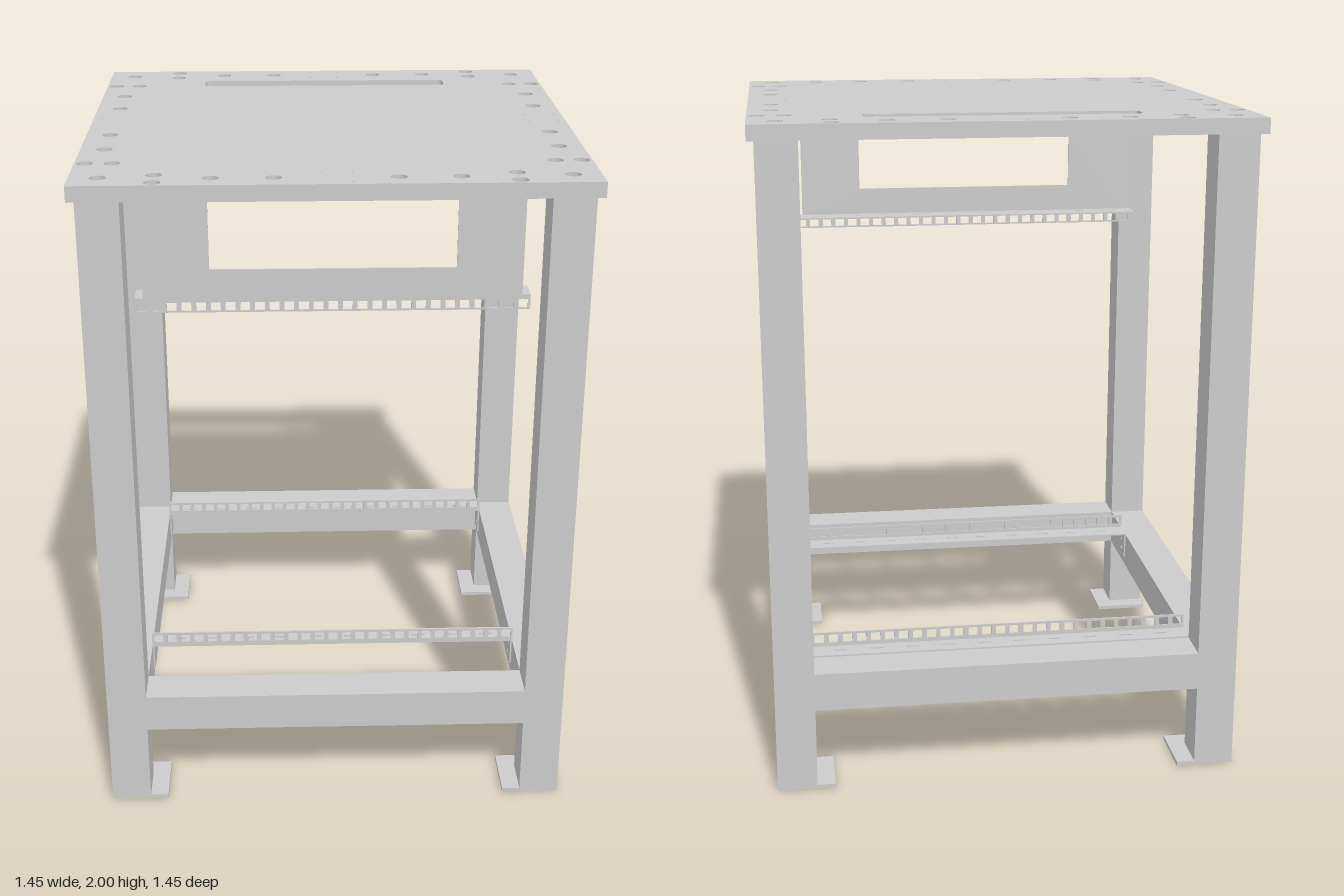
import * as THREE from 'three';

const mat = new THREE.MeshStandardMaterial({ color: 0xcccccc, flatShading: true });
const T = 0.005; // sheet metal thickness

function add(parent, name, geo, x = 0, y = 0, z = 0) {
  const m = new THREE.Mesh(geo, mat);
  m.name = name;
  m.position.set(x, y, z);
  parent.add(m);
  return m;
}

const box = (w, h, d) => new THREE.BoxGeometry(w, h, d);

// Trace a rectangle into a Shape or Path
function rect(p, x0, y0, x1, y1) {
  p.moveTo(x0, y0);
  p.lineTo(x1, y0);
  p.lineTo(x1, y1);
  p.lineTo(x0, y1);
  p.closePath();
  return p;
}

function roundRect(p, x0, y0, x1, y1, r) {
  p.moveTo(x0 + r, y0);
  p.lineTo(x1 - r, y0);
  p.absarc(x1 - r, y0 + r, r, -Math.PI / 2, 0);
  p.lineTo(x1, y1 - r);
  p.absarc(x1 - r, y1 - r, r, 0, Math.PI / 2);
  p.lineTo(x0 + r, y1);
  p.absarc(x0 + r, y1 - r, r, Math.PI / 2, Math.PI);
  p.lineTo(x0, y0 + r);
  p.absarc(x0 + r, y0 + r, r, Math.PI, Math.PI * 1.5);
  return p;
}

const extrude = (shape, depth) =>
  new THREE.ExtrudeGeometry(shape, { depth, bevelEnabled: false, curveSegments: 10 });

// Horizontal sheet: shape y becomes z, thickness goes down from y = 0
const sheet = (shape, depth) => extrude(shape, depth).rotateX(Math.PI / 2);

// Bolt and pin hole centres, repeated in all four quadrants
function holeCentres() {
  const base = [[0.495, 0.695], [0.495, 0.62], [0.34, 0.655], [0.17, 0.655]];
  const bolts = [[0.645, 0.645], ...base, ...base.map(([a, b]) => [b, a])];
  const pins = [[0.045, 0.61], [0.045, 0.7], [0.61, 0.045], [0.7, 0.045]];
  const mirror = (list) =>
    list.flatMap(([x, z]) => [[x, z], [-x, z], [x, -z], [-x, -z]]);
  return { bolts: mirror(bolts), pins: mirror(pins) };
}

// One layer of the table top, with slot, bolt holes and pin holes
function topLayer(boltRadius, depth) {
  const s = rect(new THREE.Shape(), -0.725, -0.725, 0.725, 0.725);
  const { bolts, pins } = holeCentres();
  s.holes.push(roundRect(new THREE.Path(), -0.4, -0.565, 0.4, -0.488, 0.014));
  for (const [x, z] of bolts) s.holes.push(new THREE.Path().absarc(x, z, boltRadius, 0, Math.PI * 2));
  for (const [x, z] of pins) s.holes.push(new THREE.Path().absarc(x, z, 0.004, 0, Math.PI * 2));
  return sheet(s, depth);
}

// Strip with a row of square holes between y0 and y1
function combStrip(h, y0, y1) {
  const w = 1.17, n = 27, pitch = w / n;
  const s = rect(new THREE.Shape(), -w / 2, 0, w / 2, h);
  for (let i = 0; i < n; i++) {
    const x = -w / 2 + pitch * (i + 0.5);
    s.holes.push(rect(new THREE.Path(), x - 0.0145, y0, x + 0.0145, y1));
  }
  return extrude(s, T);
}

// Flat flange reaching backwards from z = 0, with small slots
function slottedFlange(depth) {
  const s = rect(new THREE.Shape(), -0.585, -depth, 0.585, 0);
  for (let i = 0; i < 10; i++) {
    const x = -0.5 + i * (1 / 9);
    s.holes.push(rect(new THREE.Path(), x - 0.02, -depth * 0.5 - 0.004, x + 0.02, -depth * 0.5 + 0.004));
  }
  return sheet(s, T);
}

// Cable strip: flange, upright comb and drilled end tabs
function cableStrip(name, z, depth) {
  const g = new THREE.Group();
  g.name = name;
  g.position.set(0, 0.381, z);
  add(g, 'stripFlange', slottedFlange(depth));
  add(g, 'stripComb', combStrip(0.05, 0.017, 0.043), 0, -T, -T);
  const tab = rect(new THREE.Shape(), -depth, -0.09, 0, 0);
  for (const y of [-0.03, -0.065])
    tab.holes.push(new THREE.Path().absarc(-depth / 2, y, 0.007, 0, Math.PI * 2));
  for (const s of [-1, 1]) {
    const geo = extrude(tab, T).rotateY(-Math.PI / 2);
    add(g, 'stripEndTab', geo, s > 0 ? 0.584 : -0.579, 0, 0);
  }
  return g;
}

export function createModel() {
  const model = new THREE.Group();
  model.name = 'equipmentTable';

  // Table top: counterbored upper layer over a narrower-holed lower layer
  const top = new THREE.Group();
  top.name = 'tableTop';
  add(top, 'topUpperLayer', topLayer(0.023, 0.02), 0, 2, 0);
  add(top, 'topLowerLayer', topLayer(0.014, 0.025), 0, 1.98, 0);
  model.add(top);

  // Legs with foot plates extending inwards
  for (const sx of [-1, 1]) for (const sz of [-1, 1]) {
    add(model, 'leg', box(0.12, 1.943, 0.12), sx * 0.645, 0.9835, sz * 0.645);
    add(model, 'footPlate', box(0.175, 0.012, 0.175), sx * 0.6175, 0.006, sz * 0.6175);
  }

  // Lower rails between the legs
  for (const s of [-1, 1]) {
    add(model, 'crossRail', box(1.17, 0.117, 0.12), 0, 0.3175, s * 0.645);
    add(model, 'sideRail', box(0.12, 0.117, 1.17), s * 0.645, 0.3175, 0);
  }

  // Cable strips resting between the lower rails
  model.add(cableStrip('frontCableStrip', 0.412, 0.08));
  model.add(cableStrip('backCableStrip', -0.512, 0.073));

  // Hanging bracket under the top: windowed panel, flanges and comb
  const bracket = new THREE.Group();
  bracket.name = 'hangingBracket';
  bracket.position.z = 0.412;
  const panel = rect(new THREE.Shape(), -0.56, 1.57, 0.56, 1.955);
  panel.holes.push(roundRect(new THREE.Path(), -0.363, 1.658, 0.363, 1.862, 0.004));
  add(bracket, 'bracketPanel', extrude(panel, T), 0, 0, -T);
  add(bracket, 'bracketTopFlange', box(1.12, T, 0.08), 0, 1.9525, -0.04);
  add(bracket, 'bracketBottomFlange', slottedFlange(0.08), 0, 1.572, 0);
  add(bracket, 'bracketComb', combStrip(0.045, 0.005, 0.031), 0, 1.526, -T);
  model.add(bracket);

  return model;
}
